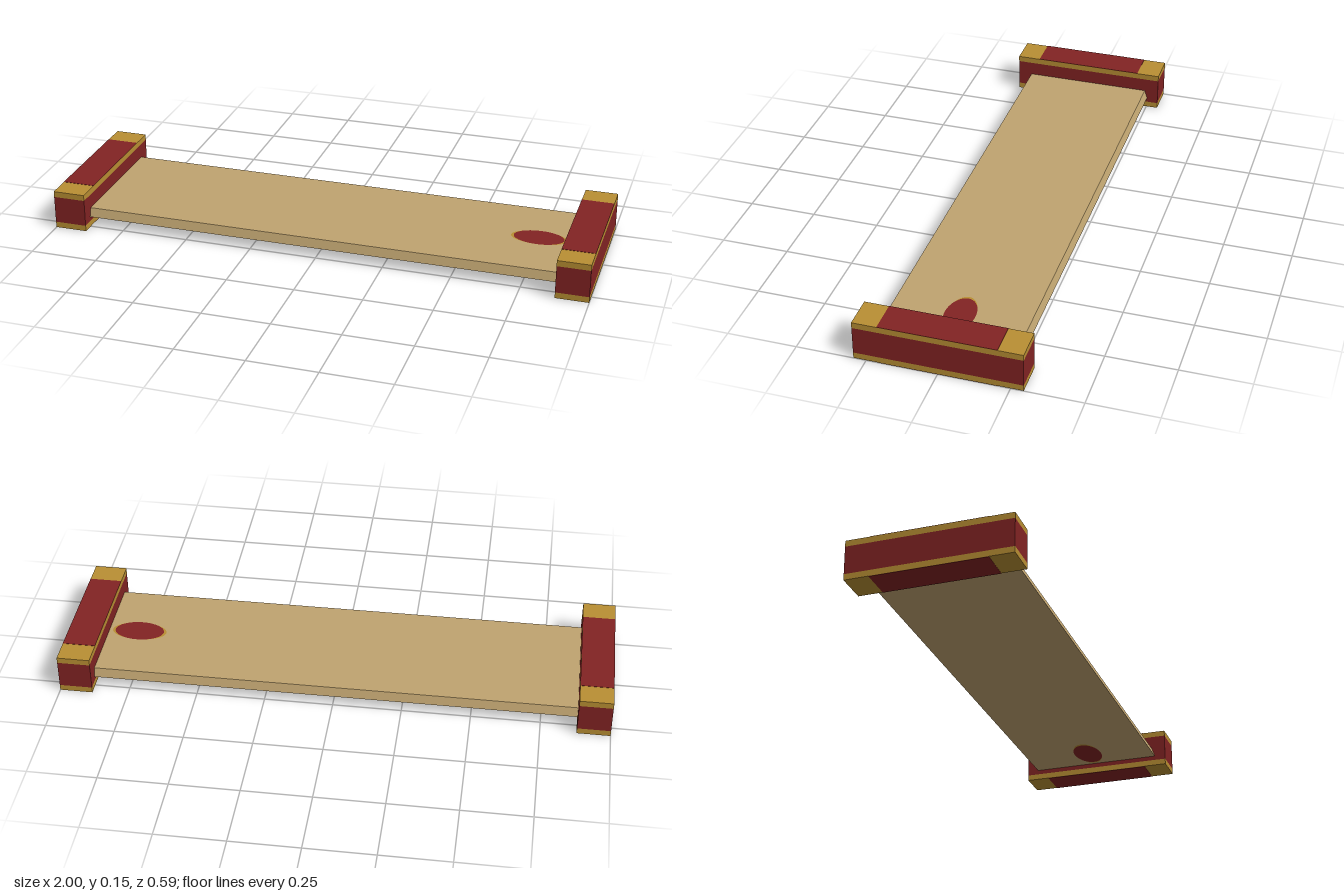
import * as THREE from 'three';

const flat = (name, color) => {
  const m = new THREE.MeshStandardMaterial({ color });
  m.name = name;
  return m;
};

export function createModel() {
  const red = flat('deepRed', 0x822323);
  const gold = flat('gold', 0xb98f33);
  const tan = flat('tan', 0xc0a470);

  const model = new THREE.Group();
  model.name = 'scroll';

  const add = (parent, name, geometry, material, x = 0, y = 0, z = 0) => {
    const mesh = new THREE.Mesh(geometry, material);
    mesh.name = name;
    mesh.position.set(x, y, z);
    parent.add(mesh);
    return mesh;
  };
  const box = (parent, name, w, h, d, material, x, y, z) =>
    add(parent, name, new THREE.BoxGeometry(w, h, d), material, x, y, z);

  // Flat sheet with slightly sloping long edges
  const half = 0.88, bottom = 0.04, top = 0.073;
  const section = new THREE.Shape([
    new THREE.Vector2(-0.252, bottom), new THREE.Vector2(0.252, bottom),
    new THREE.Vector2(0.241, top), new THREE.Vector2(-0.241, top),
  ]);
  const sheet = new THREE.ExtrudeGeometry(section, { depth: half * 2, bevelEnabled: false });
  sheet.translate(0, 0, -half).rotateY(Math.PI / 2);
  add(model, 'sheet', sheet, tan);

  // Painted oval seal with a narrow gold rim, on both faces of the sheet
  for (const [side, y, out] of [['top', top, 1], ['bottom', bottom, -1]]) {
    const layers = [['SealRim', 0.102, 0.052, gold, 0.001], ['Seal', 0.092, 0.054, red, 0.002]];
    for (const [name, rx, rz, material, lift] of layers) {
      const oval = new THREE.CircleGeometry(1, 40);
      oval.scale(rx, rz, 1).rotateX(-out * Math.PI / 2);
      add(model, side + name, oval, material, 0.765, y + out * lift, 0);
    }
  }

  // End bars: red core between gold caps, with a red panel on each cap
  const w = 0.12, d = 0.59, height = 0.148, cap = 0.023, skin = 0.001;
  for (const [name, s] of [['leftBar', 1], ['rightBar', -1]]) {
    const bar = new THREE.Group();
    bar.name = name;
    bar.position.x = s * (1 - w / 2);
    model.add(bar);
    box(bar, 'core', w, height - 2 * cap, d, red, 0, height / 2, 0);
    for (const [side, out] of [['top', 1], ['bottom', -1]]) {
      const edge = height / 2 + out * (height / 2 - skin / 2);
      const middle = height / 2 + out * (height / 2 - skin - (cap - skin) / 2);
      box(bar, side + 'Cap', w, cap - skin, d, gold, 0, middle, 0);
      box(bar, side + 'Panel', w, skin, 0.414, red, 0, edge, 0);
    }
  }

  return model;
}
